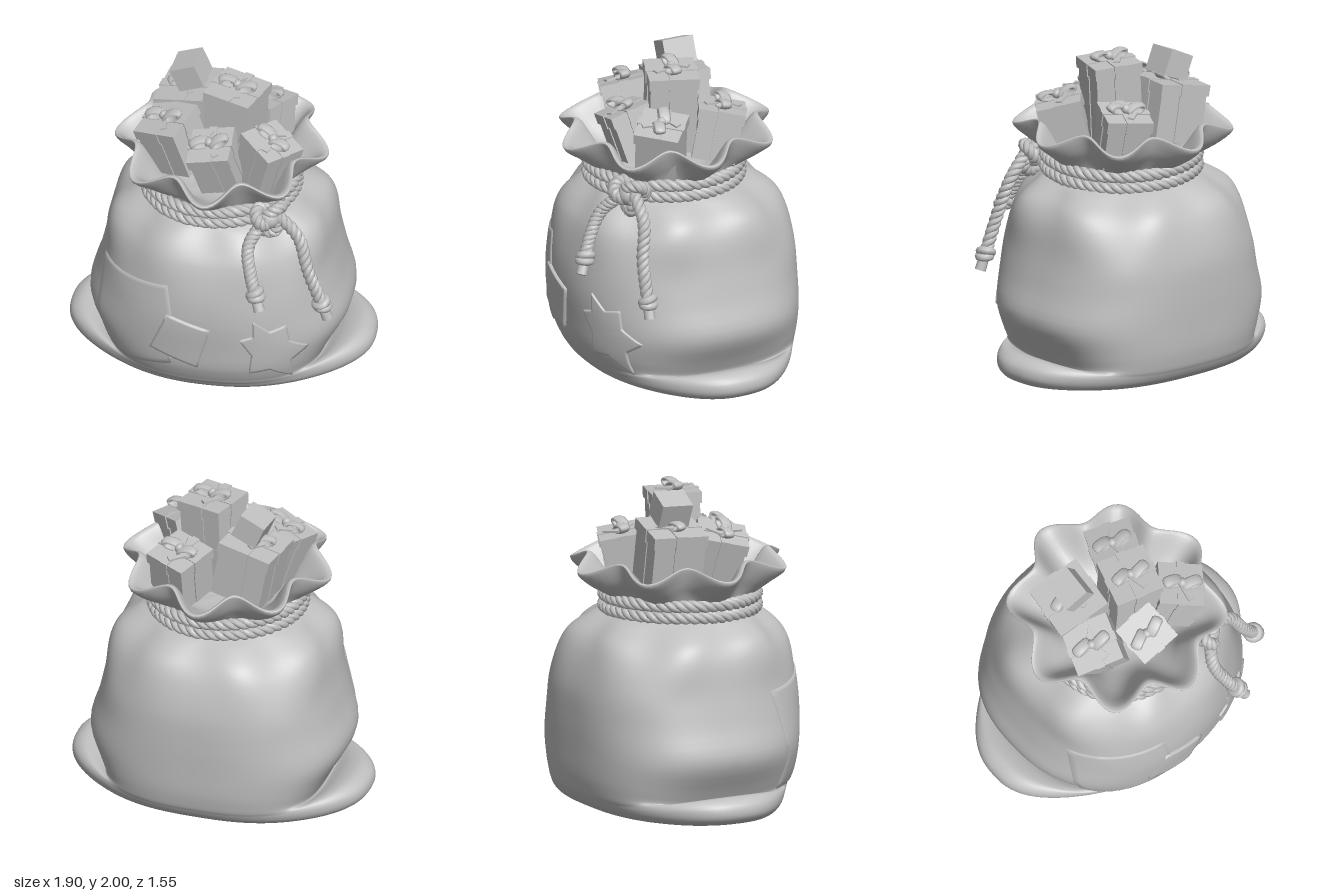
import * as THREE from 'three';

const V = (x, y, z) => new THREE.Vector3(x, y, z);
const { lerp, smoothstep } = THREE.MathUtils;
const clay = new THREE.MeshStandardMaterial({ color: 0xc0c0c0 });
clay.name = 'light grey';

function add(parent, name, geo, pos = [0, 0, 0], scale = [1, 1, 1]) {
  const m = new THREE.Mesh(geo, clay);
  m.name = name;
  m.position.set(...pos);
  m.scale.set(...scale);
  parent.add(m);
  return m;
}

// Surface from a grid of points, closed around in j
function loft(grid) {
  const pos = [], idx = [], n = grid[0].length;
  grid.forEach(row => row.forEach(p => pos.push(p.x, p.y, p.z)));
  for (let i = 0; i < grid.length - 1; i++)
    for (let j = 0; j < n; j++) {
      const a = i * n + j, b = i * n + (j + 1) % n;
      idx.push(a, a + n, b, b, a + n, b + n);
    }
  const g = new THREE.BufferGeometry();
  g.setAttribute('position', new THREE.Float32BufferAttribute(pos, 3));
  g.setIndex(idx);
  g.computeVertexNormals();
  return g;
}

// Lower sack: y, front z, back z, half width, then y and half width at the side corners
const LOW = [
  [0, 0, 0, 0, 0, 0], [0, .4, -.54, .68, 0, .74],
  [.01, .46, -.61, .73, .02, .84], [.03, .51, -.67, .76, .04, .91],
  [.06, .545, -.705, .77, .09, .95], [.09, .565, -.725, .77, .155, .94],
  [.11, .58, -.735, .77, .195, .87], [.13, .59, -.745, .77, .17, .77],
  [.17, .61, -.755, .775, .11, .67], [.25, .64, -.768, .79, .2, .71],
];
// Upper sack: y, front z, back z, half width, pleat depth
const HIGH = [
  [.4, .66, -.775, .81, 0], [.6, .68, -.78, .76, 0], [.8, .67, -.77, .715, 0],
  [1, .63, -.72, .69, -.02], [1.1, .57, -.66, .64, -.04], [1.18, .49, -.55, .53, -.04],
  [1.23, .43, -.46, .45, 0], [1.31, .43, -.46, .45, .015], [1.36, .47, -.51, .48, .04],
  [1.43, .53, -.59, .54, .07], [1.51, .6, -.65, .6, .1], [1.535, .61, -.655, .605, .1],
  [1.53, .57, -.62, .57, .1], [1.42, .47, -.51, .47, .08], [1.32, .37, -.39, .37, .03],
  [1.25, .25, -.25, .25, 0], [1.25, 0, 0, 0, 0],
];

function sackGeometry() {
  const n = 128, steps = 104, columns = [];
  const rows = [...LOW.map(r => [...r, 0]), ...HIGH.map(([y, f, b, w, a]) => [y, f, b, w, y, w, a])];
  for (let j = 0; j < n; j++) {
    const t = j / n * Math.PI * 2, c = Math.cos(t), s = Math.sin(t);
    const ear = Math.abs(c) ** 4, wave = Math.cos(8 * t);
    const pts = rows.map(([y, f, b, w, ySide, wSide, a]) => {
      // rounder in front, squarer at the back
      const e = lerp(s > 0 ? .9 : .78, 1, smoothstep(y, .8, 1.23)), k = 1 + a * wave;
      const droop = y > 1.3 ? a * wave * .4 : 0;
      return V(lerp(w, wSide, ear) * k * Math.sign(c) * Math.abs(c) ** e,
        lerp(y, ySide, ear) - droop,
        (f + b) / 2 + (f - b) / 2 * k * Math.sign(s) * Math.abs(s) ** e);
    });
    const curve = new THREE.CatmullRomCurve3(pts);
    columns.push(Array.from({ length: steps + 1 }, (_, i) => curve.getPoint(i / steps)));
  }
  const grid = columns[0].map((_, i) => columns.map(col => col[i]));
  grid.forEach(row => row.forEach(p => { p.y = Math.max(0, p.y); }));
  return loft(grid);
}

// Cloth patch laid over the front of the sack; corners run clockwise
function patch(parent, sack, name, corners, lift) {
  const ray = new THREE.Raycaster();
  const c = corners.reduce((s, p) => [s[0] + p[0] / corners.length, s[1] + p[1] / corners.length], [0, 0]);
  const edge = [];
  corners.forEach((p, i) => {
    const q = corners[(i + 1) % corners.length];
    for (let k = 0; k < 8; k++) edge.push([lerp(p[0], q[0], k / 8), lerp(p[1], q[1], k / 8)]);
  });
  const drop = (x, y, h) => {
    for (let k = 0; k < 20; k++, x *= .98) {
      ray.set(V(x, y, 3), V(0, 0, -1));
      const hit = ray.intersectObject(sack)[0];
      if (hit) return hit.point.addScaledVector(hit.face.normal, h);
    }
    return V(x, y, 0);
  };
  const ring = (r, h) => edge.map(p => drop(lerp(c[0], p[0], r), lerp(c[1], p[1], r), h));
  const grid = [ring(1, -.01), ring(1, lift)];
  for (let k = 9; k >= 0; k--) grid.push(ring(k / 10 + .001, lift));
  add(parent, name, loft(grid));
}

// Three strands twisted around a curve
function rope(parent, name, curve, turns, closed) {
  const g = new THREE.Group(), n = turns * 10;
  g.name = name;
  const f = curve.computeFrenetFrames(n, closed);
  for (let s = 0; s < 3; s++) {
    const pts = [];
    for (let i = 0; i < (closed ? n : n + 1); i++) {
      const a = (i / n * turns + s / 3) * Math.PI * 2;
      pts.push(curve.getPointAt(i / n)
        .addScaledVector(f.normals[i], Math.cos(a) * .02)
        .addScaledVector(f.binormals[i], Math.sin(a) * .02));
    }
    const path = new THREE.CatmullRomCurve3(pts, closed);
    add(g, 'strand', new THREE.TubeGeometry(path, n, .022, 7, closed));
  }
  parent.add(g);
  return g;
}

// Hanging rope with a knotted end
function tail(parent, pts) {
  const curve = new THREE.CatmullRomCurve3(pts.map(p => V(...p)));
  rope(parent, 'ropeTail', curve, 5, false);
  const end = new THREE.Group(), p = curve.getPoint(1);
  end.name = 'ropeEnd';
  end.position.copy(p);
  end.lookAt(p.clone().add(curve.getTangent(1)));
  add(end, 'endKnot', new THREE.TorusGeometry(.038, .026, 8, 14), [0, 0, -.02]).rotation.y = .3;
  add(end, 'endKnotWrap', new THREE.TorusGeometry(.036, .025, 8, 14), [0, 0, .01]).rotation.x = .35;
  add(end, 'endTip', new THREE.CylinderGeometry(.035, .032, .1, 10).rotateX(Math.PI / 2), [0, 0, .05]);
  parent.add(end);
}

// Wrapped present; its origin is the middle of the lid
function gift(parent, w, h, pos, rot) {
  const g = new THREE.Group(), r = w * .2;
  g.name = 'present';
  g.position.set(...pos);
  g.rotation.set(...rot, 'ZXY');
  add(g, 'box', new THREE.BoxGeometry(w, h, w), [0, -h / 2 - .005, 0]);
  add(g, 'lid', new THREE.BoxGeometry(w + .022, .07, w + .022), [0, -.035, 0]);
  for (const [a, b] of [[w, r], [r, w]]) {
    const k = a > b ? [1, 0] : [0, 1];
    add(g, 'ribbon', new THREE.BoxGeometry(a + k[0] * .014, h, b + k[1] * .014), [0, -h / 2, 0]);
    add(g, 'lidRibbon', new THREE.BoxGeometry(a + k[0] * .036, .084, b + k[1] * .036), [0, -.036, 0]);
  }
  for (const s of [-1, 1]) {
    const loop = add(g, 'bowLoop', new THREE.TorusGeometry(.04, .014, 8, 16), [s * .06, .028, 0], [1.3, .6, 2.6]);
    loop.rotation.set(0, .4, s * .2);
    const end = add(g, 'bowTail', new THREE.BoxGeometry(.04, .012, .11), [s * .03, .014, s * .06]);
    end.rotation.y = s * .5;
  }
  add(g, 'bowKnot', new THREE.SphereGeometry(.03, 10, 8), [0, .025, 0]);
  parent.add(g);
}

export function createModel() {
  const model = new THREE.Group();
  model.name = 'giftSack';
  const sack = add(model, 'sack', sackGeometry());
  sack.updateMatrixWorld(true);

  // Sewn-on patches
  patch(model, sack, 'largePatch', [[-.62, .15], [-.7, .45], [-.67, .78], [-.56, .8], [-.22, .85], [-.18, .58], [-.2, .26]], .008);
  patch(model, sack, 'smallPatch', [[-.33, .37], [-.22, .65], [.05, .57], [-.03, .27]], .018);
  const tips = [[.52, .14], [.28, .23], [.23, .5], [.31, .64], [.5, .57], [.62, .37]];
  const star = tips.flatMap((p, i) => {
    const q = tips[(i + 1) % 6];
    return [p, [lerp(.41, (p[0] + q[0]) / 2, .72), lerp(.4, (p[1] + q[1]) / 2, .72)]];
  });
  patch(model, sack, 'starPatch', star, .012);

  // Rope wound twice around the neck
  for (const y of [1.235, 1.308]) {
    const pts = Array.from({ length: 24 }, (_, i) => {
      const a = i / 24 * Math.PI * 2;
      return V(Math.cos(a) * .465, y + .008 * Math.sin(2 * a), -.01 + Math.sin(a) * .47);
    });
    rope(model, 'neckRope', new THREE.CatmullRomCurve3(pts, true), 17, true);
  }

  // Knot and hanging ends
  const knotPts = Array.from({ length: 30 }, (_, i) => {
    const t = i / 30 * Math.PI * 2;
    return V(Math.sin(t) + 2 * Math.sin(2 * t), Math.cos(t) - 2 * Math.cos(2 * t), -Math.sin(3 * t)).multiplyScalar(.035);
  });
  const knot = rope(model, 'knot', new THREE.CatmullRomCurve3(knotPts, true), 9, true);
  add(knot, 'knotCore', new THREE.SphereGeometry(.07, 14, 10));
  knot.position.set(.37, 1.28, .41);
  knot.rotation.y = .72;
  tail(model, [[.33, 1.26, .46], [.27, 1.15, .56], [.3, 1.0, .65], [.34, .89, .7]]);
  tail(model, [[.42, 1.3, .4], [.55, 1.15, .4], [.62, .93, .44], [.71, .69, .45]]);

  // Presents
  gift(model, .29, .5, [.1, 1.93, -.01], [0, -.32, -.05]);
  gift(model, .33, .36, [-.24, 1.78, -.2], [0, -.15, .18]);
  gift(model, .27, .32, [.22, 1.68, -.3], [-.2, -.45, 0]);
  gift(model, .28, .34, [-.33, 1.73, .11], [.1, -.4, .3]);
  gift(model, .25, .3, [-.02, 1.68, .27], [.25, -.05, .25]);
  gift(model, .26, .32, [.35, 1.69, .18], [.1, -.7, -.25]);
  const cube = add(model, 'smallPresent', new THREE.BoxGeometry(.17, .16, .2), [-.225, 1.89, -.2]);
  cube.rotation.set(0, -.1, .4, 'ZXY');
  return model;
}
